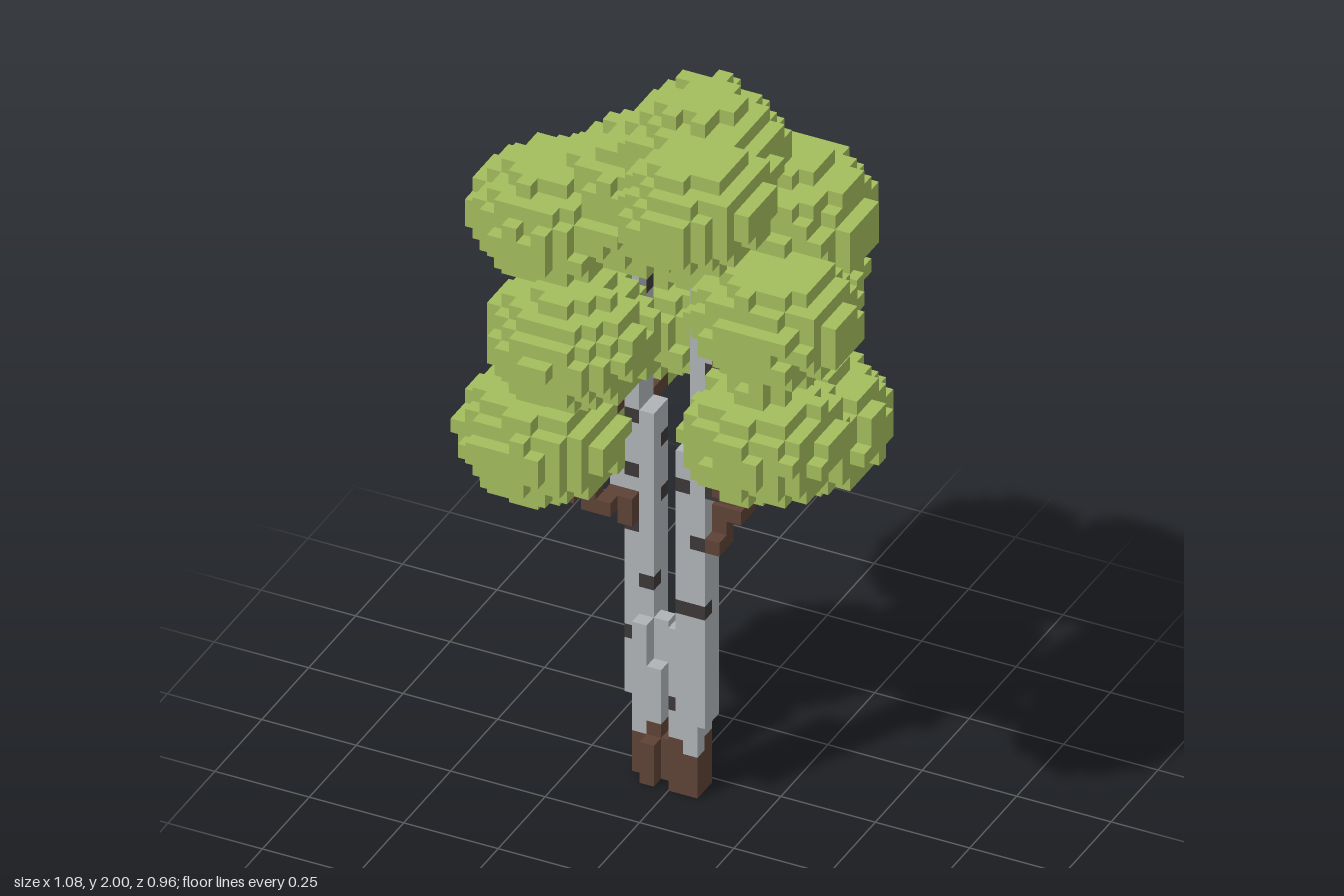
import * as THREE from 'three';

const V = 2 / 52;                 // edge of one cube
const OX = 14, OZ = 12.5;         // grid cell at the model's centre

const paint = (name, color) => {
  const m = new THREE.MeshStandardMaterial({ color });
  m.name = name;
  return m;
};

// The six faces of a cube: outward normal and two edge directions (u x v = n)
const FACES = [
  [[1, 0, 0], [0, 1, 0], [0, 0, 1]], [[-1, 0, 0], [0, 0, 1], [0, 1, 0]],
  [[0, 1, 0], [0, 0, 1], [1, 0, 0]], [[0, -1, 0], [1, 0, 0], [0, 0, 1]],
  [[0, 0, 1], [1, 0, 0], [0, 1, 0]], [[0, 0, -1], [0, 1, 0], [1, 0, 0]],
];

export function createModel() {
  const grey = paint('paleBark', 0xafb3b6), dark = paint('darkBark', 0x3d3838);
  const brown = paint('brownWood', 0x5e4235), green = paint('leafGreen', 0xa3bd5d);

  // Shared grid, so touching parts leave no hidden faces
  const grid = new Map(), parts = [];
  const key = (i, j, k) => `${i},${j},${k}`;
  const part = (name, material) => {
    const p = { name, material, cells: [] };
    parts.push(p);
    return p;
  };
  const put = (p, i, j, k, over = false) => {
    const id = key(i, j, k);
    if (grid.has(id) && !over) return;
    grid.set(id, p);
    p.cells.push([i, j, k]);
  };
  const fill = (p, [i0, i1], [j0, j1], [k0, k1]) => {
    for (let i = i0; i <= i1; i++)
      for (let j = j0; j <= j1; j++)
        for (let k = k0; k <= k1; k++) put(p, i, j, k);
  };

  // Brown foot with a ragged outline and upper edge
  const foot = part('rootBase', brown);
  fill(foot, [11, 12], [0, 2], [12, 13]);
  fill(foot, [14, 15], [0, 2], [13, 14]);
  fill(foot, [13, 13], [0, 2], [12, 13]);
  fill(foot, [12, 12], [0, 2], [14, 14]);
  for (const [i, k] of [[12, 13], [14, 14], [11, 12], [15, 13]]) put(foot, i, 3, k);

  // Two leaning trunks, each in offset lengths
  const left = part('leftTrunk', grey);
  fill(left, [11, 12], [3, 10], [12, 12]);
  fill(left, [11, 11], [3, 10], [13, 13]);
  fill(left, [12, 12], [3, 7], [13, 13]);
  fill(left, [10, 11], [5, 25], [11, 12]);
  fill(left, [9, 10], [20, 38], [11, 12]);
  const right = part('rightTrunk', grey);
  fill(right, [14, 15], [3, 12], [13, 13]);
  fill(right, [14, 15], [3, 11], [14, 14]);
  fill(right, [15, 16], [6, 25], [14, 15]);
  fill(right, [16, 17], [23, 38], [14, 15]);

  // Dark bark marks, set into the trunks
  const marks = part('barkMarks', dark);
  for (const [i, j, k] of [
    [11, 13, 12], [10, 9, 12], [10, 9, 11], [15, 10, 13], [14, 6, 14], [15, 5, 13],
    [15, 14, 15], [16, 14, 15], [15, 23, 15], [17, 23, 15], [16, 19, 14], [16, 19, 15],
    [10, 17, 12], [10, 21, 12], [11, 19, 11], [11, 23, 11], [10, 25, 12],
    [17, 32, 15], [17, 32, 14], [16, 32, 14], [16, 27, 14], [17, 28, 15], [9, 27, 11],
    [10, 34, 11], [9, 34, 11],
  ]) put(marks, i, j, k, true);

  // Branches: cubes stepped along a path in model units
  const branch = (name, ...path) => {
    const p = part(name, brown);
    for (let s = 1; s < path.length; s++) {
      const a = new THREE.Vector3(...path[s - 1]), b = new THREE.Vector3(...path[s]);
      const n = Math.ceil(a.distanceTo(b) / V * 8);
      for (let t = 0; t <= n; t++) {
        const q = a.clone().lerp(b, t / n).divideScalar(V);
        put(p, Math.floor(q.x + OX), Math.floor(q.y), Math.floor(q.z + OZ));
      }
    }
  };
  branch('leftLowBranch', [-0.13, 0.72, 0.03], [-0.18, 0.75, 0.05], [-0.21, 0.79, 0.08], [-0.29, 0.79, 0.12], [-0.29, 0.9, 0.13]);
  branch('leftBackBranch', [-0.14, 0.83, -0.07], [-0.16, 0.91, -0.12], [-0.2, 0.97, -0.23], [-0.2, 1.05, -0.27]);
  branch('leftFrontBranch', [-0.17, 1.02, 0.03], [-0.17, 1.14, 0.05], [-0.18, 1.25, 0.2]);
  branch('leftHighBranch', [-0.2, 1.25, -0.03], [-0.3, 1.4, -0.06]);
  branch('rightLowBranch', [0.13, 0.75, 0.1], [0.14, 0.82, 0.08], [0.18, 0.85, 0.05], [0.2, 0.93, 0.02], [0.3, 1.02, -0.03]);
  branch('rightFrontBranch', [0.17, 0.92, 0.12], [0.2, 0.98, 0.17], [0.21, 1.05, 0.22], [0.28, 1.06, 0.26], [0.33, 1.15, 0.28]);
  branch('rightMiddleBranch', [0.17, 1.28, 0.12], [0.18, 1.3, 0.15], [0.22, 1.33, 0.18], [0.29, 1.37, 0.2], [0.33, 1.45, 0.2]);
  branch('rightBackBranch', [0.13, 1.21, 0.05], [0.17, 1.21, -0.08], [0.19, 1.3, -0.12]);
  branch('rightHighBranch', [0.17, 1.44, 0.08], [0.18, 1.5, 0.04], [0.25, 1.55, 0]);
  branch('topBranch', [0.13, 1.5, 0.1], [0.13, 1.68, 0.14], [0.13, 1.68, 0.22], [0.15, 1.77, 0.26]);

  // Leaf clumps: flattened balls of cubes with a slightly rough skin
  const rough = (i, j, k) => {
    const s = Math.sin(i * 12.99 + j * 78.23 + k * 37.72) * 43758.55;
    return (s - Math.floor(s) - 0.5) * 0.08;
  };
  [ // centre x, y, z, then radii
    [0.10, 1.845, 0.10, 0.185, 0.155, 0.185],
    [0.17, 1.83, 0.28, 0.17, 0.14, 0.20],
    [0.12, 1.64, 0.05, 0.20, 0.19, 0.17],
    [0.27, 1.64, -0.02, 0.19, 0.165, 0.195],
    [-0.12, 1.61, 0.01, 0.185, 0.165, 0.19],
    [-0.30, 1.55, 0.09, 0.195, 0.15, 0.19],
    [0.345, 1.52, 0.22, 0.192, 0.15, 0.19],
    [-0.34, 1.44, -0.085, 0.20, 0.155, 0.20],
    [0.20, 1.385, -0.145, 0.17, 0.155, 0.185],
    [-0.192, 1.31, 0.22, 0.195, 0.15, 0.20],
    [0.35, 1.23, 0.29, 0.185, 0.145, 0.19],
    [0.32, 1.075, -0.03, 0.18, 0.15, 0.185],
    [-0.215, 1.08, -0.295, 0.175, 0.15, 0.185],
    [-0.315, 0.955, 0.135, 0.19, 0.15, 0.195],
  ].forEach(([x, y, z, rx, ry, rz], n) => {
    const p = part(`leafClump${n + 1}`, green);
    const ci = x / V + OX, cj = y / V, ck = z / V + OZ;
    for (let i = Math.floor(ci) - 7; i <= ci + 7; i++)
      for (let j = Math.floor(cj) - 6; j <= cj + 6; j++)
        for (let k = Math.floor(ck) - 7; k <= ck + 7; k++) {
          const d = Math.hypot((i + 0.5 - ci) * V / rx, (j + 0.5 - cj) * V / ry, (k + 0.5 - ck) * V / rz);
          if (d + rough(i, j, k) < 1) put(p, i, j, k);
        }
  });

  // One mesh per part, made of the exposed cube faces
  const group = new THREE.Group();
  group.name = 'tree';
  for (const p of parts) {
    const pos = [], nor = [], idx = [];
    for (const c of p.cells) {
      if (grid.get(key(...c)) !== p) continue;
      for (const [n, u, v] of FACES) {
        if (grid.has(key(c[0] + n[0], c[1] + n[1], c[2] + n[2]))) continue;
        const b = pos.length / 3;
        for (const [s, t] of [[0, 0], [1, 0], [1, 1], [0, 1]]) {
          const q = c.map((w, a) => w + Math.max(n[a], 0) + s * u[a] + t * v[a]);
          pos.push((q[0] - OX) * V, q[1] * V, (q[2] - OZ) * V);
          nor.push(...n);
        }
        idx.push(b, b + 1, b + 2, b, b + 2, b + 3);
      }
    }
    if (!idx.length) continue;
    const g = new THREE.BufferGeometry();
    g.setAttribute('position', new THREE.Float32BufferAttribute(pos, 3));
    g.setAttribute('normal', new THREE.Float32BufferAttribute(nor, 3));
    g.setIndex(idx);
    const mesh = new THREE.Mesh(g, p.material);
    mesh.name = p.name;
    group.add(mesh);
  }
  return group;
}
